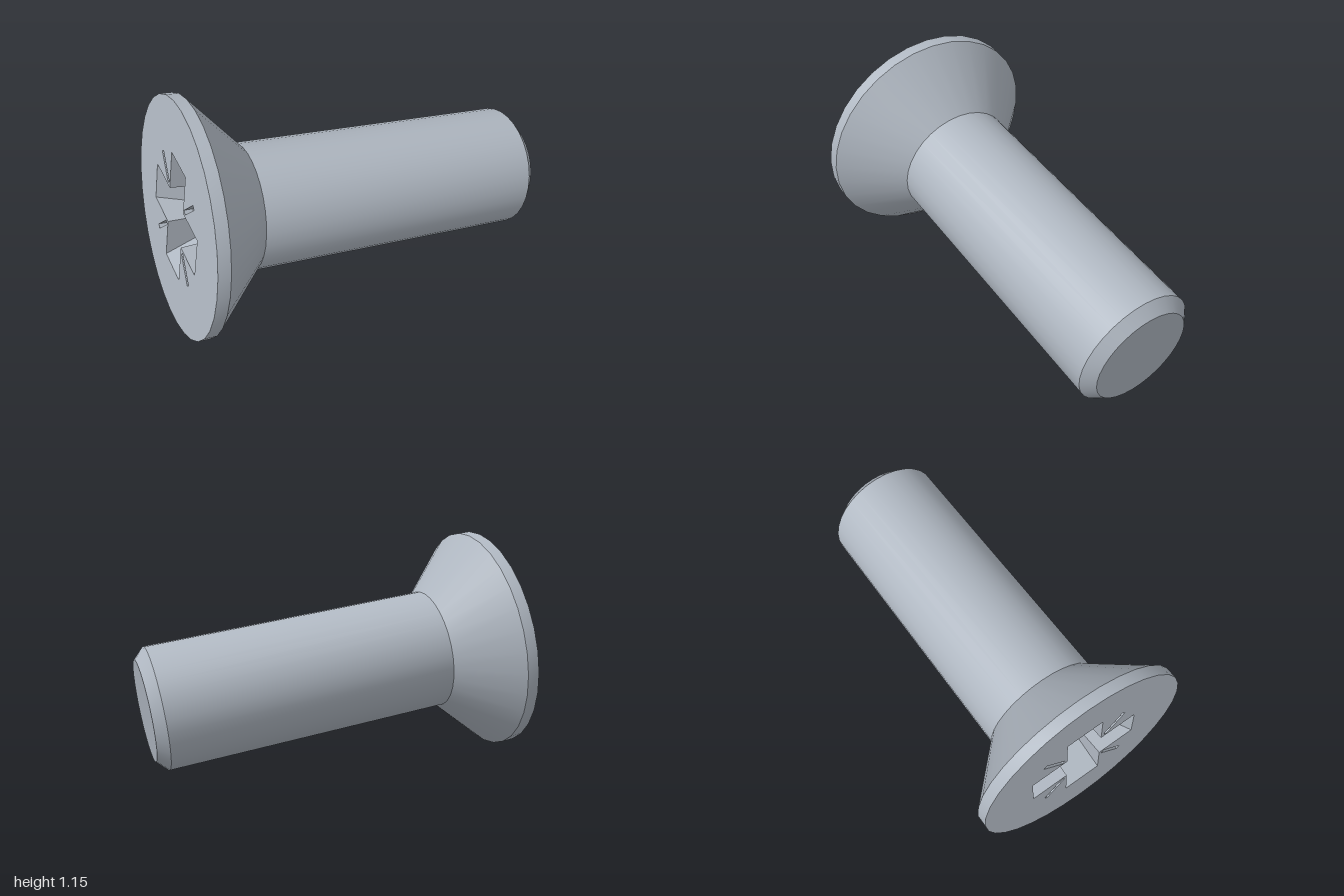
import * as THREE from 'three';
import { toCreasedNormals } from 'three/addons/utils/BufferGeometryUtils.js';

const SIDES = 32;
const HEAD_R = 0.578;

// Outline of the cross-shaped recess, counter-clockwise
function crossOutline(tip, half) {
  const pts = [];
  for (let i = 0; i < 4; i++) {
    for (const [x, y] of [[tip, -half], [tip, half], [half, half]]) {
      pts.push(new THREE.Vector2(x, y).rotateAround(new THREE.Vector2(), i * Math.PI / 2));
    }
  }
  return pts;
}

// Outline of a thin radial slot, counter-clockwise
function slotOutline(r0, r1, half, angle) {
  return [[r0, -half], [r1, -half], [r1, half], [r0, half]].map(([x, y]) =>
    new THREE.Vector2(x, y).rotateAround(new THREE.Vector2(), angle));
}

// Sunken pit: walls from the top outline to the bottom one, floor fanned to a centre
function pit(top, bottom, depth, centreDepth) {
  const pos = [];
  const c = bottom.reduce((s, p) => s.add(p), new THREE.Vector2()).divideScalar(bottom.length);
  const n = top.length;
  for (let i = 0; i < n; i++) {
    const j = (i + 1) % n;
    const a = [top[i].x, top[i].y, 0], b = [top[j].x, top[j].y, 0];
    const a2 = [bottom[i].x, bottom[i].y, -depth], b2 = [bottom[j].x, bottom[j].y, -depth];
    pos.push(...a, ...b2, ...a2, ...a, ...b, ...b2, ...a2, ...b2, c.x, c.y, -centreDepth);
  }
  const g = new THREE.BufferGeometry();
  g.setAttribute('position', new THREE.Float32BufferAttribute(pos, 3));
  g.computeVertexNormals();
  return g;
}

export function createModel() {
  const model = new THREE.Group();
  model.name = 'countersunkScrew';
  const steel = new THREE.MeshStandardMaterial({ color: 0xb0b8c2 });
  steel.name = 'steel grey';

  // Local frame: head face on z = 0 looking along +z, shank running along -z
  const screw = new THREE.Group();
  screw.name = 'screw';
  const add = (name, geometry) => {
    const mesh = new THREE.Mesh(geometry, steel);
    mesh.name = name;
    screw.add(mesh);
  };

  // Rim, countersunk cone, shank, chamfer and flat end (radius, distance from head face)
  const lathe = (name, profile) => {
    const g = new THREE.LatheGeometry(profile.map(p => new THREE.Vector2(...p)), SIDES);
    g.rotateX(-Math.PI / 2);
    add(name, toCreasedNormals(g, 0.5));
  };
  lathe('head', [[HEAD_R, 0], [HEAD_R, 0.06], [0.309, 0.329]]);
  lathe('shank', [[0.309, 0.329], [0.309, 1.795], [0.254, 1.849], [0, 1.849]]);

  // Head face with openings for the drive recess and the four slots
  const rim = [];
  for (let i = 0; i < SIDES; i++) {
    const a = -i / SIDES * Math.PI * 2;
    rim.push(new THREE.Vector2(HEAD_R * Math.sin(a), HEAD_R * Math.cos(a)));
  }
  const face = new THREE.Shape(rim);
  const cross = crossOutline(0.3, 0.1);
  face.holes.push(new THREE.Path(cross));
  add('driveRecess', pit(cross, crossOutline(0.13, 0.085), 0.32, 0.38));
  for (let i = 0; i < 4; i++) {
    const slot = slotOutline(0.17, 0.32, 0.011, Math.PI / 4 + i * Math.PI / 2);
    face.holes.push(new THREE.Path(slot));
    add('recessSlot', pit(slot, slot, 0.04, 0.04));
  }
  add('headFace', new THREE.ShapeGeometry(face));

  // Tilt the screw so it rests on its head and tip
  const back = new THREE.Vector3(-0.967, 0.152, -0.204).normalize();
  const side = new THREE.Vector3(0, 1, 0).cross(back).normalize();
  const up = back.clone().cross(side);
  screw.quaternion.setFromRotationMatrix(new THREE.Matrix4().makeBasis(side, up, back));
  screw.position.set(-0.853, 0.58, -0.049);
  model.add(screw);
  return model;
}
